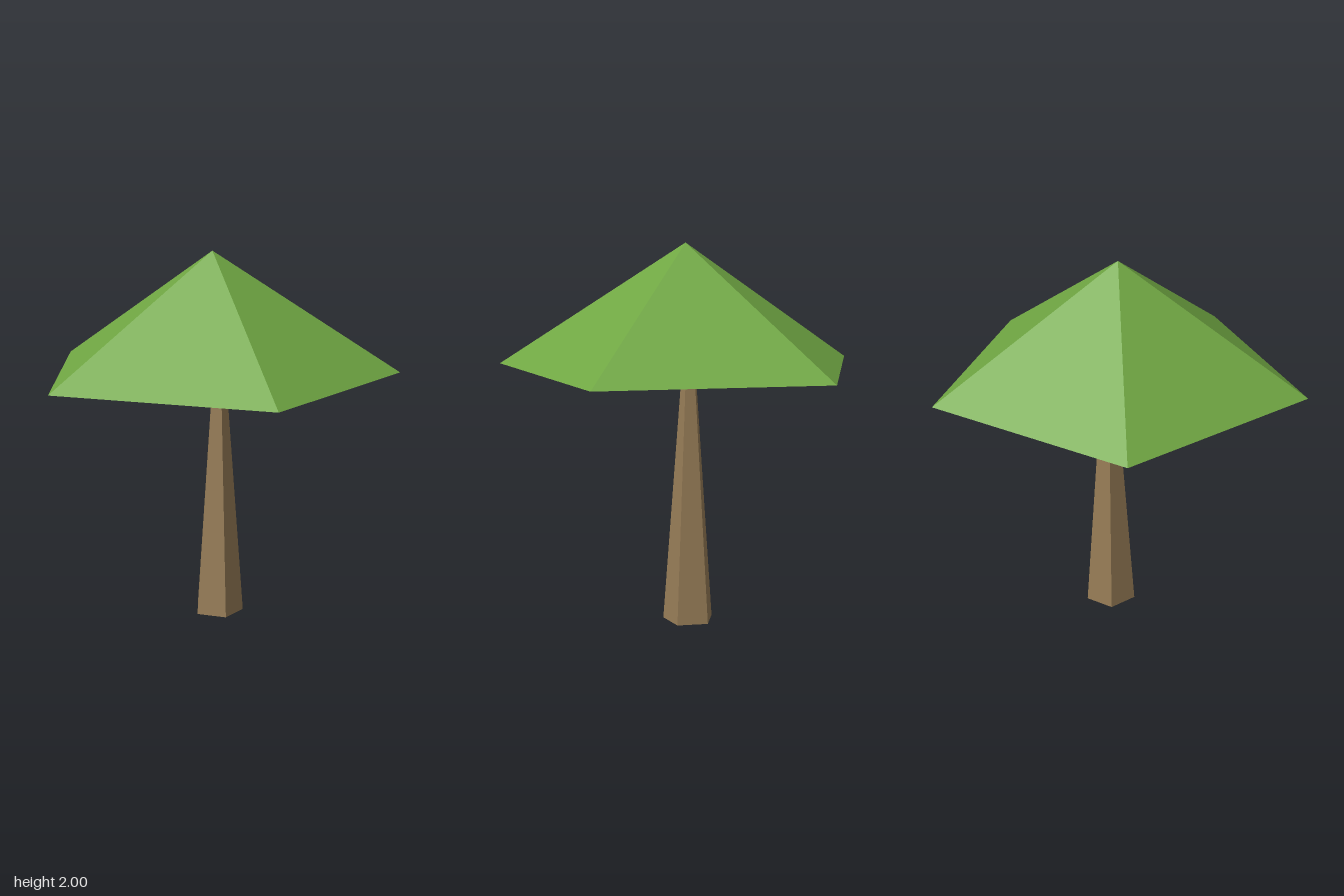
import * as THREE from 'three';

// Open five-sided cone standing on baseY, with one corner pointing to the front
function openCone(name, radius, baseY, topY, x, z, material) {
  const height = topY - baseY;
  const geometry = new THREE.ConeGeometry(radius, height, 5, 1, true);
  const mesh = new THREE.Mesh(geometry, material);
  mesh.name = name;
  mesh.position.set(x, baseY + height / 2, z);
  return mesh;
}

export function createModel() {
  const flat = { flatShading: true, side: THREE.DoubleSide };
  const leafGreen = new THREE.MeshStandardMaterial({ color: 0x70a743, ...flat });
  leafGreen.name = 'leaf green';
  const barkBrown = new THREE.MeshStandardMaterial({ color: 0x967c56, ...flat });
  barkBrown.name = 'bark brown';

  const tree = new THREE.Group();
  tree.name = 'tree';
  // Wide hollow canopy
  tree.add(openCone('canopy', 1, 1.355, 2, 0, -0.096, leafGreen));
  // Slim trunk tapering to a point inside the canopy
  tree.add(openCone('trunk', 0.139, 0, 1.85, -0.01, -0.148, barkBrown));
  return tree;
}
